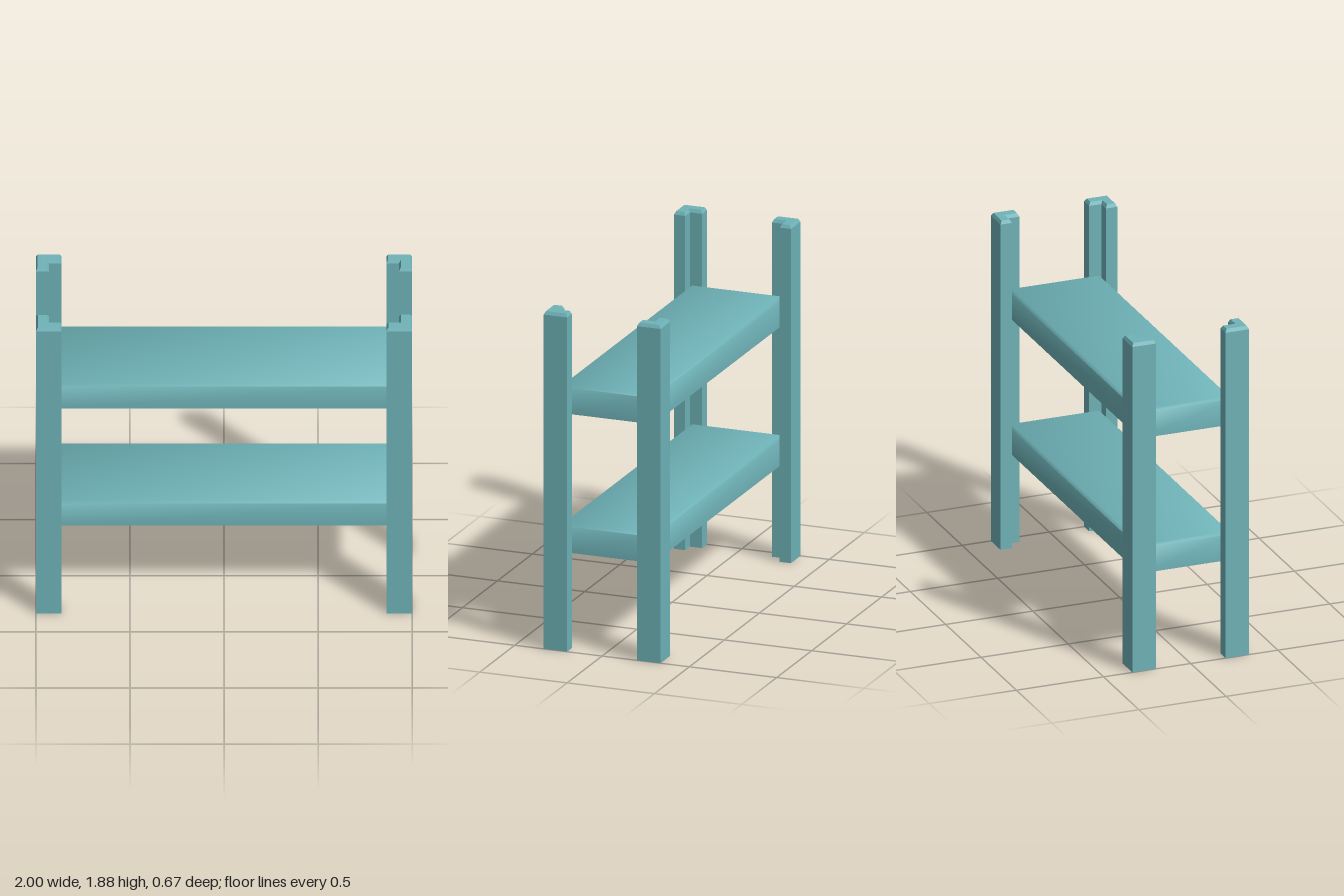
import * as THREE from 'three';
import { toCreasedNormals } from 'three/addons/utils/BufferGeometryUtils.js';

// Moves an axis-aligned outline of [x, z] corners inwards by d
function insetOutline(pts, d) {
  const n = pts.length;
  const inward = (a, b) => [Math.sign(b[1] - a[1]) * d, -Math.sign(b[0] - a[0]) * d];
  return pts.map((p, i) => {
    const u = inward(pts[(i + n - 1) % n], p);
    const v = inward(p, pts[(i + 1) % n]);
    return [p[0] + u[0] + v[0], p[1] + u[1] + v[1]];
  });
}

// Thin shell, open below: upright walls, a bevel and a flat top
function openShell(outline, bottom, top, inset, drop, crease) {
  const n = outline.length;
  const inner = insetOutline(outline, inset);
  const rings = [[outline, bottom], [outline, top - drop], [inner, top]];
  const positions = rings.flatMap(([ring, y]) => ring.flatMap(([x, z]) => [x, y, z]));
  const index = [];
  for (let r = 0; r < 2; r++) {
    for (let i = 0; i < n; i++) {
      const a = r * n + i;
      const b = r * n + (i + 1) % n;
      index.push(a, b, b + n, a, b + n, a + n);
    }
  }
  const flat = inner.map(([x, z]) => new THREE.Vector2(x, -z));
  for (const [a, b, c] of THREE.ShapeUtils.triangulateShape(flat, [])) {
    index.push(2 * n + a, 2 * n + b, 2 * n + c);
  }
  const geometry = new THREE.BufferGeometry();
  geometry.setAttribute('position', new THREE.Float32BufferAttribute(positions, 3));
  geometry.setIndex(index);
  return toCreasedNormals(geometry, crease);
}

export function createModel() {
  const group = new THREE.Group();
  const teal = new THREE.MeshStandardMaterial({ color: 0x6fb3b8, side: THREE.DoubleSide });
  teal.name = 'teal';

  const add = (name, geometry) => {
    const mesh = new THREE.Mesh(geometry, teal);
    mesh.name = name;
    group.add(mesh);
  };

  // Four L-shaped corner posts, mirrored in x and z
  const corner = [[0.863, 0.335], [1, 0.335], [1, 0.2], [0.93, 0.2], [0.93, 0.27], [0.863, 0.27]];
  for (const sx of [-1, 1]) {
    for (const sz of [-1, 1]) {
      const outline = corner.map(([x, z]) => [x * sx, z * sz]);
      if (sx * sz < 0) outline.reverse();
      const name = (sz > 0 ? 'front' : 'back') + (sx > 0 ? 'Left' : 'Right') + 'Post';
      add(name, openShell(outline, 0, 1.885, 0.01, 0.018, 0.01));
    }
  }

  // Two shelves, hollow underneath, with a softened upper edge
  const board = [[-0.93, 0.265], [0.93, 0.265], [0.93, -0.265], [-0.93, -0.265]];
  add('lowerShelf', openShell(board, 0.53, 0.69, 0.014, 0.014, 1.1));
  add('upperShelf', openShell(board, 1.305, 1.465, 0.014, 0.014, 1.1));

  return group;
}
